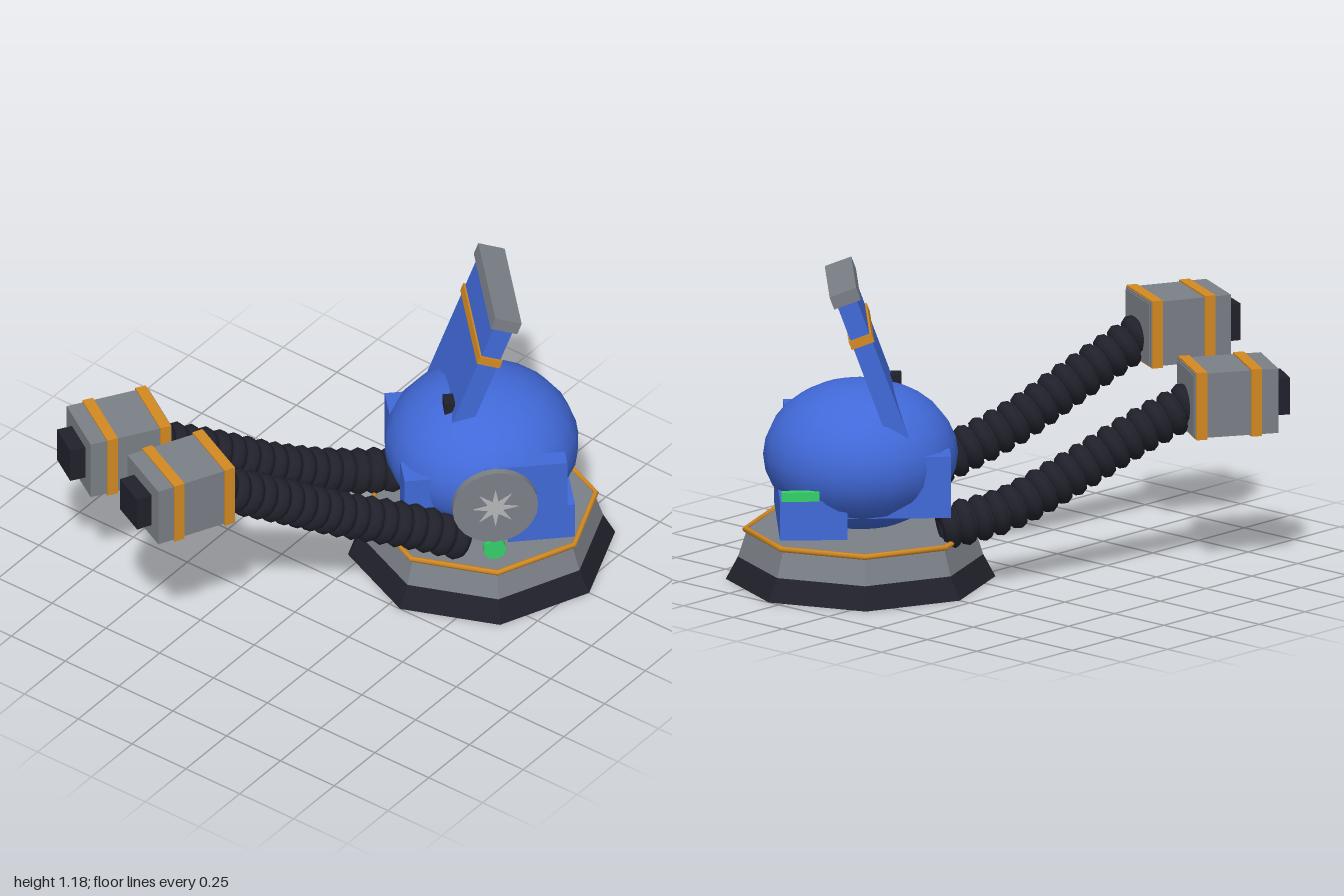
import * as THREE from 'three';

const mat = (name, color, extra = {}) => {
  const m = new THREE.MeshStandardMaterial({ color, ...extra });
  m.name = name;
  return m;
};

export function createModel() {
  const blue = mat('blue paint', 0x4169d8);
  const grey = mat('grey metal', 0x7b8087);
  const dark = mat('dark rubber', 0x21212c);
  const orange = mat('orange trim', 0xd38a22);
  const green = mat('green light', 0x35d06a);
  const pale = mat('pale metal', 0xb4b6b8);

  const add = (parent, name, geometry, material, x = 0, y = 0, z = 0) => {
    const mesh = new THREE.Mesh(geometry, material);
    mesh.name = name;
    mesh.position.set(x, y, z);
    parent.add(mesh);
    return mesh;
  };
  const box = (parent, name, material, w, h, d, x, y, z) =>
    add(parent, name, new THREE.BoxGeometry(w, h, d), material, x, y, z);
  // Octagonal frustum with hard edges
  const octagon = (top, bottom, h) => new THREE.CylinderGeometry(top, bottom, h, 8).toNonIndexed();
  const flat = (geometry) => { geometry.computeVertexNormals(); return geometry; };

  const model = new THREE.Group();
  model.name = 'robot';

  // Octagonal base
  const base = new THREE.Group();
  base.name = 'base';
  base.position.set(0.5, 0, 0.3);
  model.add(base);
  add(base, 'baseFoot', flat(octagon(0.455, 0.5, 0.085)), dark, 0, 0.0425, 0);
  add(base, 'baseSkirt', flat(octagon(0.42, 0.455, 0.107)), grey, 0, 0.1385, 0);
  const trim = add(base, 'baseTrim', new THREE.TorusGeometry(0.428, 0.011, 6, 8), orange, 0, 0.19, 0);
  trim.rotation.x = Math.PI / 2;

  // Body turned so that its own +z points along the arms
  const body = new THREE.Group();
  body.name = 'body';
  body.position.set(0.5, 0, 0.3);
  body.rotation.y = -Math.PI * 0.75;
  model.add(body);
  const dome = add(body, 'dome', new THREE.SphereGeometry(0.362, 20, 14), blue, 0, 0.477, 0);
  dome.scale.y = 0.278 / 0.362;
  box(body, 'rearBlock', blue, 0.58, 0.15, 0.25, 0, 0.295, -0.185);
  for (const s of [-1, 1]) {
    box(body, 'shoulderBlock', blue, 0.12, 0.235, 0.39, s * 0.21, 0.4125, 0.13);
  }

  // Side plate with a round cover and star
  box(body, 'sidePlate', blue, 0.07, 0.235, 0.31, 0.295, 0.482, -0.12);
  const cover = new THREE.Group();
  cover.name = 'sideCover';
  cover.position.set(0.362, 0.455, 0);
  cover.rotation.y = Math.PI / 2;
  body.add(cover);
  const disc = (name, r, h, material, y, z) => {
    const m = add(cover, name, new THREE.CylinderGeometry(r, r, h, 24), material, 0, y, z);
    m.rotation.x = Math.PI / 2;
  };
  disc('coverDisc', 0.16, 0.03, grey, 0, 0);
  disc('coverAxle', 0.08, 0.08, dark, 0, -0.045);
  disc('sideLight', 0.042, 0.03, green, -0.21, -0.015);
  const star = new THREE.Shape();
  for (let i = 0; i < 16; i++) {
    const r = i % 2 ? 0.03 : 0.085, a = (i * Math.PI) / 8;
    star[i ? 'lineTo' : 'moveTo'](r * Math.cos(a), r * Math.sin(a));
  }
  add(cover, 'coverStar', new THREE.ExtrudeGeometry(star, { depth: 0.004, bevelEnabled: false }),
    pale, 0, 0, 0.014);

  // Green bar on the opposite side
  box(body, 'sideBar', green, 0.03, 0.035, 0.14, -0.3, 0.392, -0.235);

  // Tall fin leaning back, with trim and cap
  const fin = new THREE.Group();
  fin.name = 'fin';
  fin.position.set(-0.055, 0.6, 0.13);
  fin.rotation.x = -0.35;
  body.add(fin);
  box(fin, 'finPanel', blue, 0.435, 0.66, 0.075, 0, 0.23, 0);
  box(fin, 'finTrim', orange, 0.45, 0.034, 0.09, 0, 0.4, 0);
  box(fin, 'finCap', grey, 0.46, 0.05, 0.105, 0, 0.578, 0);
  box(body, 'sensor', dark, 0.06, 0.07, 0.04, 0.09, 0.725, 0.135);

  // Arms: ribbed hose along a curve, then a boxy hand
  const makeArm = (name, points, wrist, direction) => {
    const arm = new THREE.Group();
    arm.name = name;
    model.add(arm);
    const curve = new THREE.CatmullRomCurve3(points.map((p) => new THREE.Vector3(...p)));
    add(arm, 'hose', new THREE.TubeGeometry(curve, 30, 0.068, 12), dark);
    const count = Math.round(curve.getLength() / 0.062);
    const ring = new THREE.TorusGeometry(0.055, 0.034, 8, 14);
    for (let i = 0; i <= count; i++) {
      const rib = add(arm, 'hoseRib', ring, dark);
      rib.position.copy(curve.getPointAt(i / count));
      rib.quaternion.setFromUnitVectors(new THREE.Vector3(0, 0, 1), curve.getTangentAt(i / count));
    }
    const hand = new THREE.Group();
    hand.name = 'hand';
    hand.position.set(...wrist);
    hand.rotation.y = Math.atan2(direction[0], direction[1]);
    arm.add(hand);
    box(hand, 'handBox', grey, 0.25, 0.246, 0.32, 0, 0, 0.16);
    for (const z of [0.025, 0.235]) box(hand, 'handBand', orange, 0.262, 0.258, 0.042, 0, 0, z);
    box(hand, 'handFace', grey, 0.236, 0.232, 0.01, 0, 0, 0.001);
    box(hand, 'handPlug', dark, 0.14, 0.14, 0.07, 0, 0, 0.345);
  };
  makeArm('rightArm',
    [[0.4, 0.24, -0.05], [0.22, 0.29, -0.17], [0, 0.4, -0.285], [-0.23, 0.545, -0.425], [-0.39, 0.635, -0.525]],
    [-0.375, 0.667, -0.535], [-0.255, -0.16]);
  makeArm('leftArm',
    [[0.2, 0.27, 0.41], [0.06, 0.355, 0.31], [-0.18, 0.49, 0.155], [-0.39, 0.63, 0.045], [-0.615, 0.775, -0.07]],
    [-0.6, 0.817, -0.085], [-0.9, -0.43]);

  return model;
}
